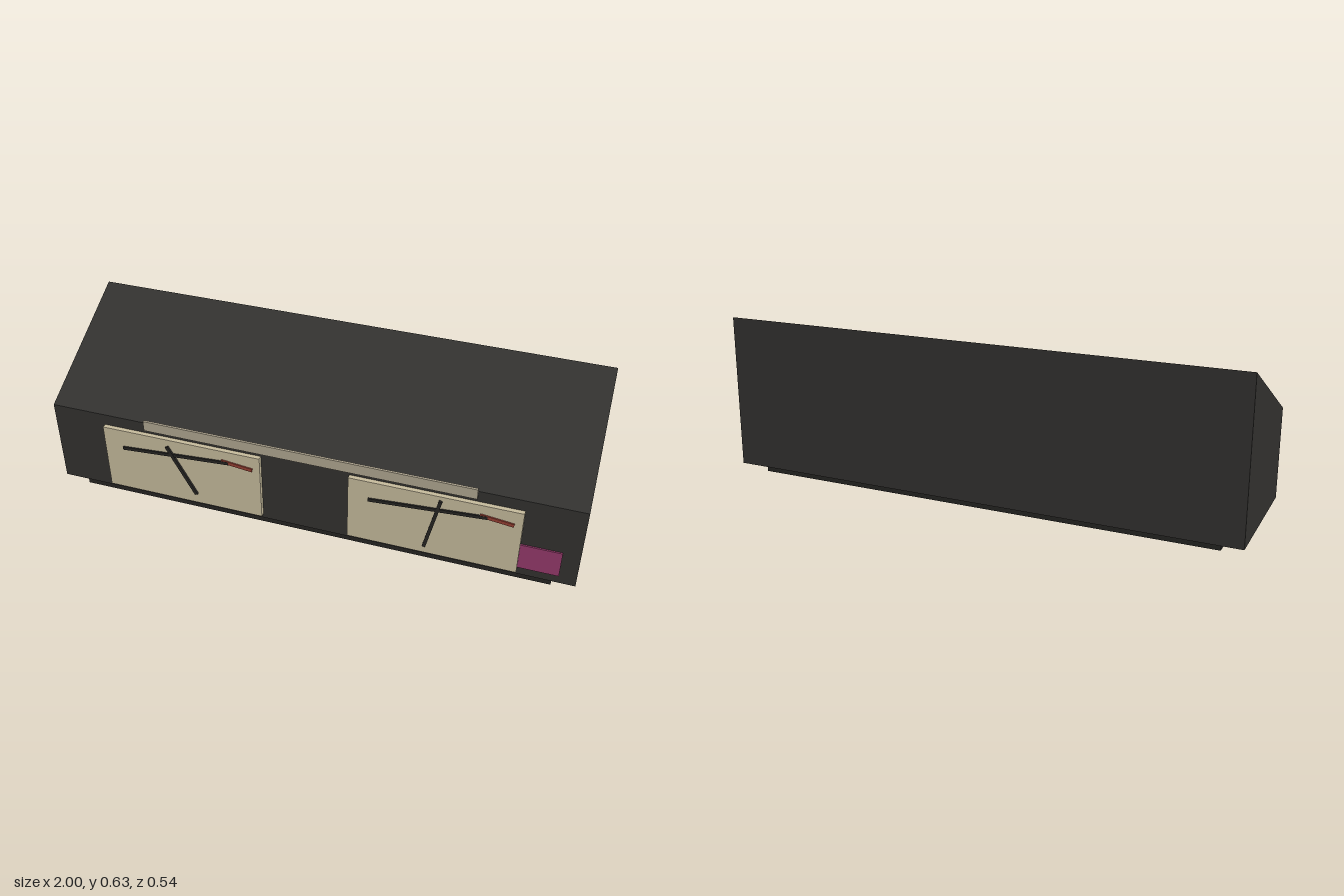
import * as THREE from 'three';

const mat = (color) => new THREE.MeshStandardMaterial({ color, flatShading: true });

export function createModel() {
  const model = new THREE.Group();
  const dark = mat(0x333230), black = mat(0x262523), cream = mat(0xc8bd9e);
  const tan = mat(0xb2a892), red = mat(0x963f32), magenta = mat(0x963a6c);

  // Box given by its limits on each axis
  const box = (name, material, [x0, x1], [y0, y1], [z0, z1]) => {
    const mesh = new THREE.Mesh(new THREE.BoxGeometry(x1 - x0, y1 - y0, z1 - z0), material);
    mesh.position.set((x0 + x1) / 2, (y0 + y1) / 2, (z0 + z1) / 2);
    mesh.name = name;
    model.add(mesh);
  };

  // Thin flat bar on the front, running between two points
  const bar = (name, material, [x0, y0], [x1, y1], width, z0, z1) => {
    const length = Math.hypot(x1 - x0, y1 - y0);
    const mesh = new THREE.Mesh(new THREE.BoxGeometry(length, width, z1 - z0), material);
    mesh.position.set((x0 + x1) / 2, (y0 + y1) / 2, (z0 + z1) / 2);
    mesh.rotation.z = Math.atan2(y1 - y0, x1 - x0);
    mesh.name = name;
    model.add(mesh);
  };

  // Wedge-topped body: side profile drawn in (-z, y), extruded along x
  const profile = new THREE.Shape([[-0.247, 0.035], [0.27, 0.035], [0.27, 0.626], [-0.247, 0.376]]
    .map(([x, y]) => new THREE.Vector2(x, y)));
  const bodyGeometry = new THREE.ExtrudeGeometry(profile, { depth: 2, bevelEnabled: false });
  bodyGeometry.translate(0, 0, -1).rotateY(Math.PI / 2);
  const body = new THREE.Mesh(bodyGeometry, dark);
  body.name = 'body';
  model.add(body);

  // Runners under the body
  box('frontRunner', black, [-0.915, 0.915], [0, 0.036], [0.148, 0.23]);
  box('backRunner', black, [-0.915, 0.915], [0, 0.036], [-0.228, -0.146]);

  // Strip along the top of the front
  box('topStrip', tan, [-0.625, 0.625], [0.346, 0.388], [0.246, 0.255]);

  // Two panels, each with a long bar, a red tip and a crossing bar
  const panels = [
    { side: 'right', x: -0.479, cross: [[-0.532, 0.302], [-0.427, 0.1]] },
    { side: 'left', x: 0.479, cross: [[0.503, 0.314], [0.455, 0.089]] },
  ];
  for (const { side, x, cross } of panels) {
    box(side + 'Panel', cream, [x - 0.312, x + 0.312], [0.055, 0.331], [0.246, 0.264]);
    bar(side + 'LongBar', black, [x - 0.236, 0.252], [x + 0.19, 0.283], 0.013, 0.263, 0.27);
    bar(side + 'RedTip', red, [x + 0.163, 0.287], [x + 0.283, 0.273], 0.014, 0.263, 0.269);
    bar(side + 'CrossBar', black, cross[0], cross[1], 0.013, 0.263, 0.272);
  }

  // Small coloured plate beside the left panel
  box('plate', magenta, [0.785, 0.938], [0.071, 0.179], [0.246, 0.253]);

  return model;
}
